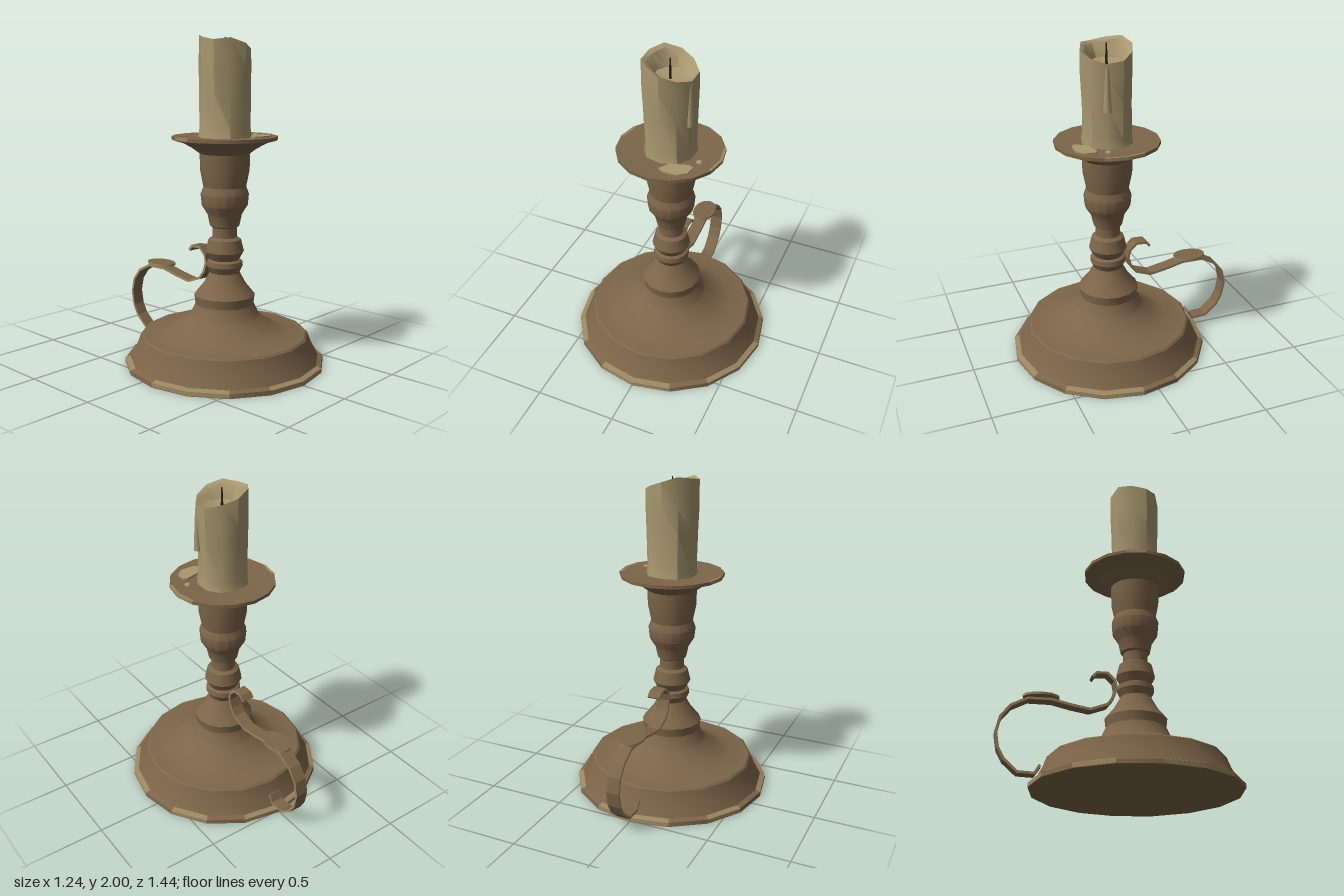
import * as THREE from 'three';
import { toCreasedNormals } from 'three/addons/utils/BufferGeometryUtils.js';

const AXIS_Z = 0.103; // the stand sits slightly forward because of the handle
const STEP = Math.PI / 8; // one facet of the 16-sided turned parts

const material = (name, color, side = THREE.FrontSide) =>
  new THREE.MeshStandardMaterial({ name, color, side });

const lathe = (pts, sides = 16, start = 0, length = Math.PI * 2) =>
  toCreasedNormals(
    new THREE.LatheGeometry(pts.map(([r, y]) => new THREE.Vector2(r, y)), sides, start, length), 0.5);

// Closed outline of a flat strip that follows a path
function ribbonShape(path, half) {
  const outer = [], inner = [];
  path.forEach(([u, v], i) => {
    const a = path[Math.max(i - 1, 0)], b = path[Math.min(i + 1, path.length - 1)];
    const du = b[0] - a[0], dv = b[1] - a[1], l = Math.hypot(du, dv);
    outer.push(new THREE.Vector2(u - dv / l * half, v + du / l * half));
    inner.unshift(new THREE.Vector2(u + dv / l * half, v - du / l * half));
  });
  return new THREE.Shape([...outer, ...inner]);
}

export function createModel() {
  const metal = material('agedMetal', 0x7d6549);
  const worn = material('wornEdge', 0x9c8661, THREE.DoubleSide);
  const wax = material('wax', 0xa8976f);
  const char = material('charredWick', 0x2a2119);

  const model = new THREE.Group();
  model.name = 'candleHolder';
  const turned = new THREE.Group();
  turned.name = 'stand';
  turned.position.z = AXIS_Z;
  model.add(turned);
  const add = (parent, name, geometry, mat) => {
    const mesh = new THREE.Mesh(geometry, mat);
    mesh.name = name;
    parent.add(mesh);
    return mesh;
  };

  // Wide foot
  add(turned, 'base', lathe([
    [0, 0], [0.618, 0], [0.615, 0.026], [0.585, 0.036], [0.54, 0.12], [0.518, 0.18],
    [0.505, 0.19], [0.38, 0.195], [0.29, 0.245], [0.215, 0.30], [0.18, 0.375],
  ]), metal);

  // Turned stem, knobs and socket
  add(turned, 'stem', lathe([
    [0.18, 0.375], [0.187, 0.43], [0.13, 0.50], [0.092, 0.57], [0.112, 0.61], [0.108, 0.64],
    [0.09, 0.65], [0.118, 0.70], [0.10, 0.775], [0.076, 0.79], [0.076, 0.85], [0.09, 0.86],
    [0.105, 0.93], [0.14, 0.985], [0.147, 1.055], [0.13, 1.10], [0.15, 1.20], [0.152, 1.30],
  ]), metal);

  // Drip pan
  add(turned, 'dripPan', lathe([
    [0.152, 1.30], [0.20, 1.335], [0.265, 1.37], [0.32, 1.385], [0.32, 1.405], [0.17, 1.398], [0, 1.398],
  ]), metal);

  // Rubbed patches on the rims: first facet, facet count
  const baseWear = [[0.619, 0.004], [0.6175, 0.027], [0.587, 0.038]];
  const panWear = [[0.322, 1.39], [0.3215, 1.407], [0.305, 1.4065]];
  [[0, 1], [2, 2], [5, 1], [7, 2], [10, 1], [12, 2], [15, 1]].forEach(([first, count]) =>
    add(turned, 'baseRimWear', lathe(baseWear, count, first * STEP, count * STEP), worn));
  [[3, 2], [11, 1]].forEach(([first, count]) =>
    add(turned, 'panRimWear', lathe(panWear, count, first * STEP, count * STEP), worn));

  // Candle with an uneven, hollowed top
  const rim = [1.95, 1.92, 1.90, 1.91, 1.94, 1.97, 2.0, 1.985, 1.97, 1.98];
  const profile = [
    [0.158, 1.395], [0.15, 1.45], [0.152, 1.66], [0.157, 1.82], [0.156, 1.95],
    [0.128, 1.935], [0.095, 1.88], [0, 1.86],
  ].map(([r, y]) => new THREE.Vector2(r, y));
  const candle = new THREE.LatheGeometry(profile, rim.length);
  const p = candle.attributes.position;
  for (let i = 0; i < p.count; i++) {
    const facet = Math.floor(i / profile.length) % rim.length;
    const y = p.getY(i);
    const swell = 1 + 0.03 * Math.sin(facet * 2.4 + y * 4);
    p.setX(i, p.getX(i) * swell);
    p.setZ(i, p.getZ(i) * swell);
    if (y > 1.9) p.setY(i, y + rim[facet] - 1.95);
  }
  add(turned, 'candle', toCreasedNormals(candle, 0.7), wax);
  add(turned, 'wick', new THREE.CylinderGeometry(0.004, 0.009, 0.13, 5), char).position.y = 1.92;

  // Wax run, drop and puddle
  const run = add(turned, 'waxRun', new THREE.CylinderGeometry(0.012, 0.026, 0.26, 6), wax);
  run.position.set(0.139, 1.75, 0.045);
  const drop = add(turned, 'waxDrop', new THREE.SphereGeometry(0.021, 7, 5), wax);
  drop.position.set(0.205, 1.402, 0.065);
  drop.scale.y = 0.6;
  const puddle = new THREE.Shape([
    [0.02, -0.32], [0.06, -0.34], [0.14, -0.34], [0.19, -0.30], [0.195, -0.24], [0.17, -0.225], [0.06, -0.255],
  ].map(([x, y]) => new THREE.Vector2(x, y + AXIS_Z)));
  const puddleGeo = new THREE.ExtrudeGeometry(puddle, { depth: 0.014, bevelEnabled: false });
  puddleGeo.rotateX(-Math.PI / 2);
  add(turned, 'waxPuddle', puddleGeo, wax).position.y = 1.397;

  // Scrolled strap handle, path given as z, y
  const strap = ribbonShape([
    [-0.455, 0.12], [-0.485, 0.072], [-0.58, 0.075], [-0.66, 0.145], [-0.695, 0.21], [-0.711, 0.30],
    [-0.69, 0.39], [-0.635, 0.46], [-0.54, 0.51], [-0.40, 0.512], [-0.29, 0.487], [-0.175, 0.468],
    [-0.075, 0.505], [-0.04, 0.55], [-0.02, 0.61], [-0.03, 0.66], [-0.075, 0.703], [-0.14, 0.70], [-0.165, 0.672],
  ], 0.008);
  const strapGeo = new THREE.ExtrudeGeometry(strap, { depth: 0.08, bevelEnabled: false });
  strapGeo.translate(0, 0, -0.04).rotateY(-Math.PI / 2);
  add(model, 'handle', strapGeo, [worn, metal]);

  // Thumb rest
  const rest = add(model, 'thumbRest', new THREE.CylinderGeometry(1, 1, 0.014, 12), [worn, metal, metal]);
  rest.scale.set(0.074, 1, 0.108);
  rest.position.set(0, 0.534, -0.46);

  return model;
}
